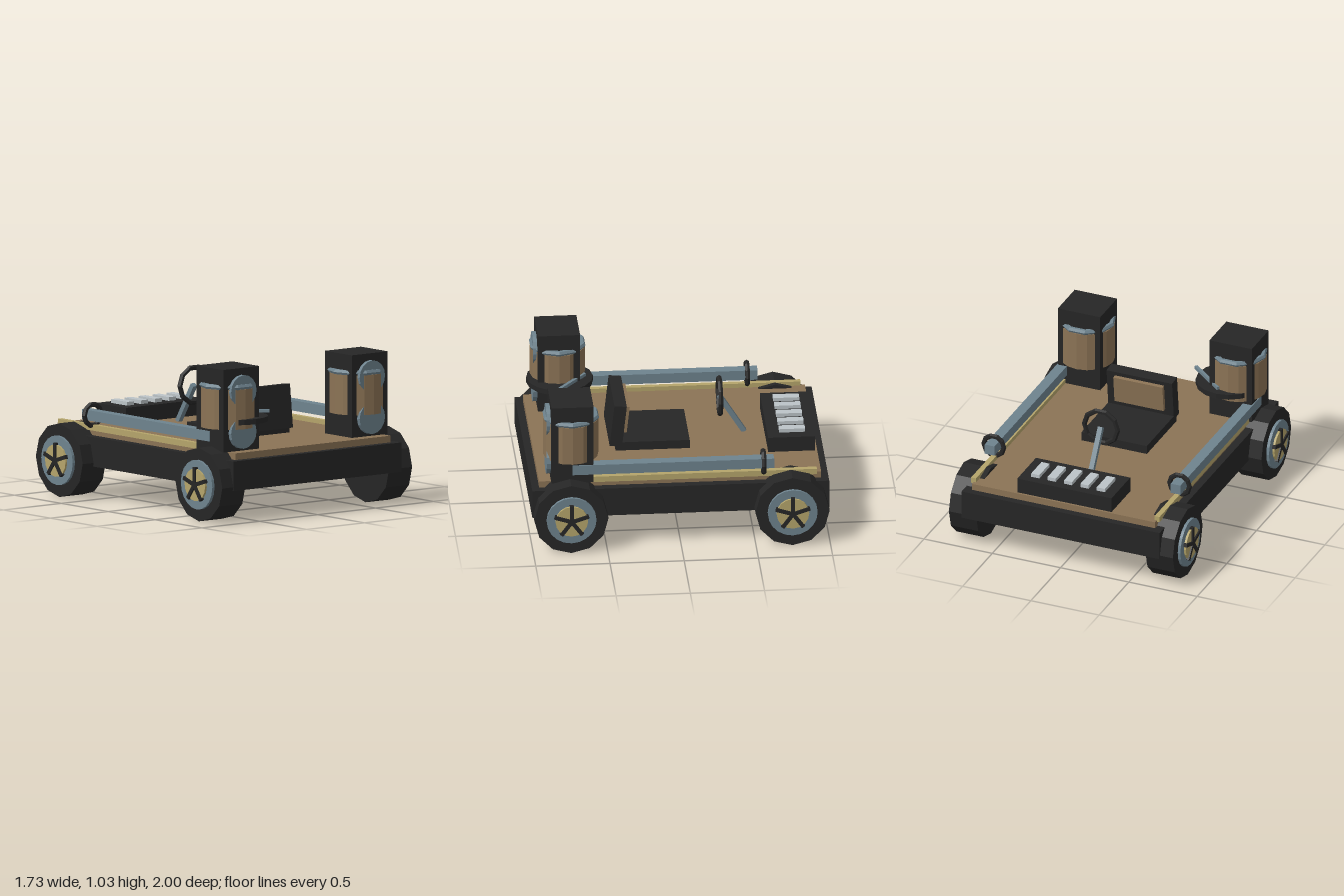
import * as THREE from 'three';

const mat = (name, color) => {
  const m = new THREE.MeshStandardMaterial({ color });
  m.name = name;
  m.flatShading = true;
  return m;
};

export function createModel() {
  const black = mat('black', 0x262626);
  const brown = mat('brown', 0x8b7355);
  const steel = mat('steel', 0x6e838e);
  const gold = mat('gold', 0xb5a56b);
  const silver = mat('silver', 0xbcc4c8);
  const root = new THREE.Group();
  root.name = 'buggy';

  const add = (parent, name, geo, material, x, y, z) => {
    const m = new THREE.Mesh(geo, material);
    m.name = name;
    m.position.set(x, y, z);
    parent.add(m);
    return m;
  };
  // Box given by its limits on each axis
  const box = (parent, name, material, x0, x1, y0, y1, z0, z1) =>
    add(parent, name, new THREE.BoxGeometry(x1 - x0, y1 - y0, z1 - z0), material,
      (x0 + x1) / 2, (y0 + y1) / 2, (z0 + z1) / 2);
  // Square rod between two points
  const rod = (parent, name, material, a, b, w) => {
    const p = new THREE.Vector3(...a), q = new THREE.Vector3(...b);
    const m = add(parent, name, new THREE.BoxGeometry(w, w, p.distanceTo(q)), material, 0, 0, 0);
    m.position.copy(p).add(q).multiplyScalar(0.5);
    m.lookAt(q);
    return m;
  };
  const group = (name, x, y, z) => {
    const g = new THREE.Group();
    g.name = name;
    g.position.set(x, y, z);
    root.add(g);
    return g;
  };

  // Chassis and deck
  box(root, 'chassis', black, -0.725, 0.725, 0.225, 0.425, -1, 1);
  box(root, 'deck', brown, -0.67, 0.67, 0.42, 0.47, -0.95, 0.95);

  // Wheels with rim, hub plate and five spokes
  for (const s of [1, -1]) for (const z of [0.745, -0.745]) {
    const wheel = group('wheel', 0.72 * s, 0.25, z);
    const disc = (name, r, h, n, material, x) => {
      const m = add(wheel, name, new THREE.CylinderGeometry(r, r, h, n), material, x * s, 0, 0);
      m.rotation.z = Math.PI / 2;
    };
    disc('tire', 0.25, 0.2, 12, black, 0);
    disc('rim', 0.168, 0.04, 20, steel, 0.1);
    disc('hubPlate', 0.11, 0.04, 16, gold, 0.115);
    for (let i = 0; i < 5; i++) {
      const geo = new THREE.BoxGeometry(0.03, 0.12, 0.026);
      geo.translate(0, 0.06, 0);
      add(wheel, 'spoke', geo, black, 0.13 * s, 0, 0).rotation.x = i * Math.PI * 2 / 5;
    }
  }

  // Side rails, long bars and their end rings
  for (const s of [1, -1]) {
    const rail = new THREE.BoxGeometry(0.036, 0.04, 1.52);
    add(root, 'sideRail', rail, gold, 0.672 * s, 0.48, -0.16);
    const bar = new THREE.BoxGeometry(0.072, 0.07, 1.36);
    add(root, 'sideBar', bar, steel, 0.681 * s, 0.565, 0.05);
    add(root, 'barRing', new THREE.TorusGeometry(0.073, 0.018, 6, 10), black, 0.68 * s, 0.565, -0.56);
  }

  // Front towers with drum, collar and two round lamps
  for (const s of [1, -1]) {
    const tower = group('tower', 0.555 * s, 0, 0.728);
    box(tower, 'towerCase', black, -0.155, 0.155, 0.47, 1.03, -0.142, 0.142);
    add(tower, 'drum', new THREE.CylinderGeometry(0.186, 0.186, 0.27, 16), brown, 0, 0.755, 0);
    const collar = add(tower, 'collar', new THREE.TorusGeometry(0.175, 0.02, 6, 10), steel, 0, 0.905, 0);
    collar.rotation.x = Math.PI / 2;
    for (const y of [0.875, 0.595]) {
      const lamp = add(tower, 'lamp', new THREE.CylinderGeometry(0.11, 0.11, 0.06, 16), steel, 0, y, 0.14);
      lamp.rotation.x = Math.PI / 2;
    }
  }

  // Turntable and pointer around the right tower
  add(root, 'turntable', new THREE.CylinderGeometry(0.225, 0.225, 0.036, 16), black, -0.487, 0.668, 0.718);
  rod(root, 'pointer', steel, [-0.48, 0.698, 0.55], [-0.225, 0.698, 0.762], 0.022);

  // Seat with leaning back and pad
  box(root, 'seatCushion', black, -0.24, 0.24, 0.47, 0.53, -0.1, 0.4);
  const back = group('seatBack', 0, 0.65, 0.382);
  back.rotation.x = -0.11;
  box(back, 'backrest', black, -0.24, 0.24, -0.148, 0.148, -0.042, 0.042);
  box(back, 'backPad', brown, -0.18, 0.18, -0.07, 0.12, -0.07, -0.04);

  // Steering wheel and column
  add(root, 'steeringWheel', new THREE.TorusGeometry(0.122, 0.018, 6, 10), black, 0, 0.735, -0.32);
  rod(root, 'steeringColumn', steel, [0, 0.735, -0.32], [0, 0.47, -0.485], 0.034);

  // Console with five keys
  box(root, 'console', black, -0.345, 0.345, 0.465, 0.575, -0.935, -0.62);
  for (let i = -2; i <= 2; i++) {
    box(root, 'key', silver, i * 0.12 - 0.03, i * 0.12 + 0.03, 0.57, 0.6, -0.875, -0.7);
  }
  return root;
}
